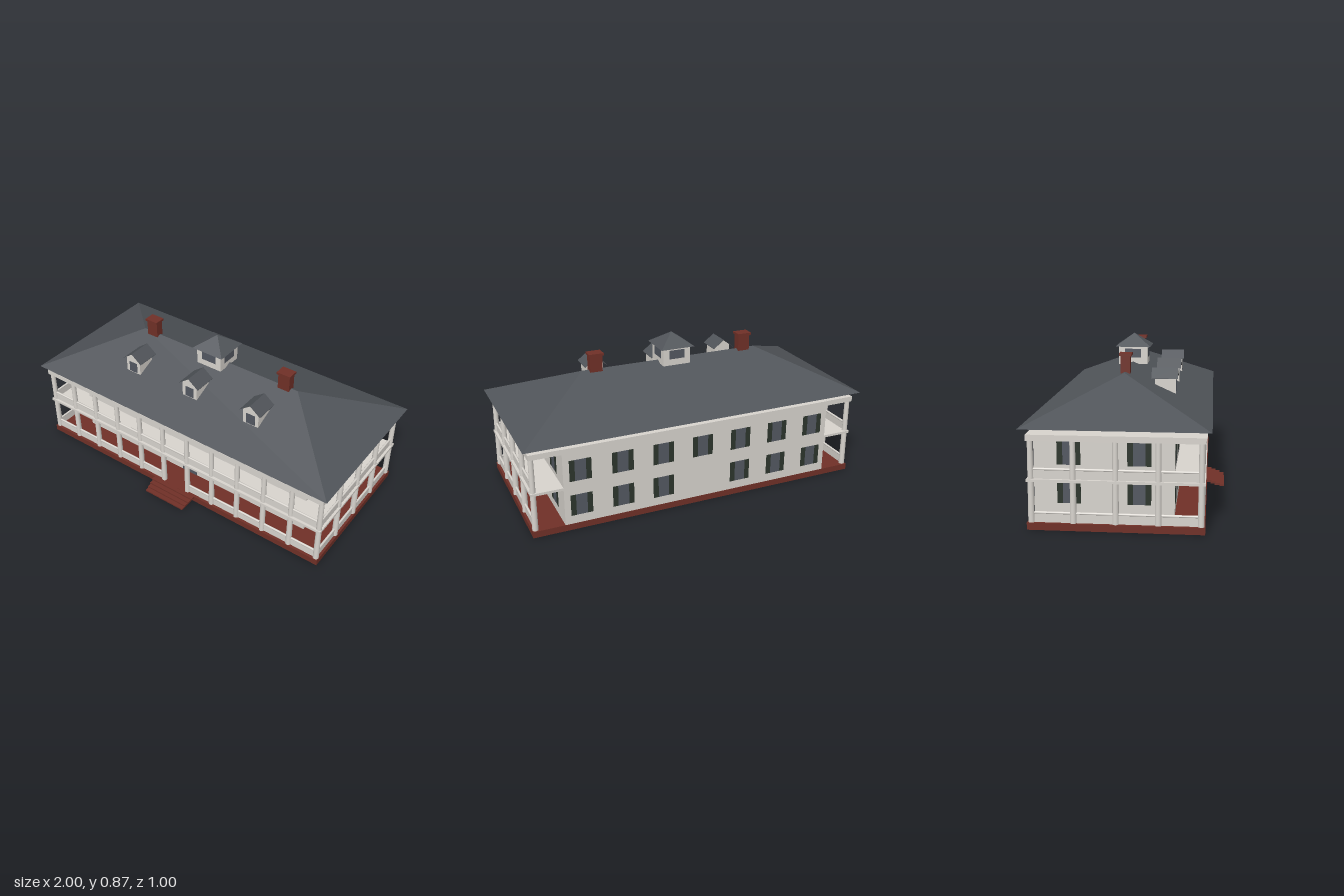
import * as THREE from 'three';
import { ConvexGeometry } from 'three/addons/geometries/ConvexGeometry.js';

const paint = (name, color) => Object.assign(new THREE.MeshStandardMaterial({ color }), { name });

export function createModel() {
  const house = new THREE.Group();
  house.name = 'galleryHouse';
  const stone = paint('pale plaster', 0xd8d4ce);
  const brick = paint('red brick', 0x703027);
  const slate = paint('dark slate', 0x505459);
  const glass = paint('window glass', 0x535861);
  const green = paint('shutter green', 0x2c352c);

  const add = (name, geometry, material, parent = house) => {
    const mesh = new THREE.Mesh(geometry, material);
    mesh.name = name;
    parent.add(mesh);
    return mesh;
  };
  // Box given by its limits on each axis
  const block = (name, material, [x0, x1], [y0, y1], [z0, z1], parent = house) => {
    const mesh = add(name, new THREE.BoxGeometry(x1 - x0, y1 - y0, z1 - z0), material, parent);
    mesh.position.set((x0 + x1) / 2, (y0 + y1) / 2, (z0 + z1) / 2);
    return mesh;
  };
  const extrude = (points, depth) => new THREE.ExtrudeGeometry(
    new THREE.Shape(points.map(p => new THREE.Vector2(...p))), { depth, bevelEnabled: false });

  const ridgeZ = -0.035, wallX = 0.795, wallFront = 0.245, back = -0.467;

  // Base and walls
  block('base', brick, [-0.97, 0.97], [0, 0.036], [back - 0.001, 0.4]);
  block('walls', stone, [-wallX, wallX], [0.036, 0.475], [back, wallFront]);

  // Gallery slabs wrap the front and both sides of the walls
  const gallerySlab = (name, y0, y1) => {
    const outline = [[-0.97, -0.4], [0.97, -0.4], [0.97, -back], [wallX, -back],
      [wallX, -wallFront], [-wallX, -wallFront], [-wallX, -back], [-0.97, -back]];
    const slab = add(name, extrude(outline, y1 - y0), stone);
    slab.rotation.x = -Math.PI / 2;
    slab.position.y = y0;
  };
  gallerySlab('upperGalleryFloor', 0.242, 0.256);
  gallerySlab('entablature', 0.446, 0.476);

  // Front steps, overlapping slabs
  for (let i = 0; i < 4; i++) {
    const w = 0.135 + i * 0.004;
    const top = 0.009 * (i + 1) - 0.0005;
    block('frontStep', brick, [-w, w], [Math.max(0, top - 0.0115), top], [0.47 - i * 0.025, 0.5 - i * 0.025]);
  }

  // Columns around the front and both sides
  const columnGeometry = new THREE.CylinderGeometry(0.014, 0.0165, 0.41, 16);
  const column = (x, z) => add('column', columnGeometry, stone).position.set(x, 0.241, z);
  for (let i = 0; i < 12; i++) column(-0.952 + i * 0.1731, 0.38);
  for (const side of [-1, 1]) {
    for (let i = 1; i < 5; i++) column(side * 0.952, 0.38 - i * 0.2068);
  }

  // Parapets: a thin solid panel under a round handrail
  const parapet = (length, floor, x, z, turn) => {
    const unit = new THREE.Group();
    unit.name = 'parapet';
    block('parapetPanel', stone, [-length / 2, length / 2], [0, 0.045], [-0.004, 0.004], unit);
    const rail = new THREE.CylinderGeometry(0.0065, 0.0065, length, 12).rotateZ(Math.PI / 2);
    add('handrail', rail, stone, unit).position.y = 0.0485;
    unit.position.set(x, floor, z);
    unit.rotation.y = turn;
    house.add(unit);
  };
  parapet(1.904, 0.255, 0, 0.38, 0);
  for (const side of [-1, 1]) {
    parapet(0.865, 0.036, side * 0.5193, 0.38, 0);
    for (const floor of [0.036, 0.255]) parapet(0.827, floor, side * 0.952, -0.0335, Math.PI / 2);
  }

  // Shuttered windows, nearly flush with each wall
  const shutteredWindow = (x, y, z, turn) => {
    const unit = new THREE.Group();
    unit.name = 'shutteredWindow';
    block('pane', glass, [-0.031, 0.031], [0, 0.12], [0, 0.0015], unit);
    for (const s of [-1, 1]) {
      block('shutter', green, [s * 0.0455 - 0.0145, s * 0.0455 + 0.0145], [0, 0.12], [0, 0.002], unit);
    }
    unit.position.set(x, y, z);
    unit.rotation.y = turn;
    house.add(unit);
  };
  for (const y of [0.085, 0.285]) {
    for (let i = -3; i <= 3; i++) {
      if (i === 0 && y < 0.2) continue;
      shutteredWindow(i * 0.2335, y, wallFront, 0);
      shutteredWindow(i * 0.2335, y, back, Math.PI);
    }
    for (const side of [-1, 1]) {
      for (const z of [0.067, -0.289]) shutteredWindow(side * wallX, y, z, side * Math.PI / 2);
    }
  }

  // Arched front door
  const arch = new THREE.Shape();
  arch.moveTo(-0.052, 0.036);
  arch.lineTo(0.052, 0.036);
  arch.lineTo(0.052, 0.176);
  arch.absarc(0, 0.176, 0.052, 0, Math.PI, false);
  arch.closePath();
  add('frontDoor', new THREE.ExtrudeGeometry(arch, { depth: 0.002, bevelEnabled: false }), glass)
    .position.z = wallFront;

  // Hipped main roof
  const roofPoints = [];
  for (const x of [-1, 1]) {
    for (const z of [-0.5, 0.427]) roofPoints.push(new THREE.Vector3(x, 0.507, z));
    roofPoints.push(new THREE.Vector3(x * 0.537, 0.715, ridgeZ));
  }
  add('mainRoof', new ConvexGeometry(roofPoints), slate);

  // Dormers on the front slope, with thin gabled roofs
  const dormerBody = extrude([[-0.049, 0.59], [0.049, 0.59], [0.049, 0.687], [0, 0.7245], [-0.049, 0.687]], 0.11);
  const dormerRoof = extrude([[-0.065, 0.676], [0, 0.7255], [0.065, 0.676], [0.065, 0.678], [0, 0.7275], [-0.065, 0.678]], 0.14);
  for (const x of [-0.41, 0, 0.41]) {
    const dormer = new THREE.Group();
    dormer.name = 'dormer';
    add('dormerBody', dormerBody, stone, dormer).position.z = 0.12;
    add('dormerRoof', dormerRoof, slate, dormer).position.z = 0.1;
    block('dormerWindow', glass, [-0.028, 0.028], [0.6, 0.664], [0.23, 0.2315], dormer);
    dormer.position.x = x;
    house.add(dormer);
  }

  // Cupola with a window on each side
  block('cupolaBody', stone, [-0.082, 0.082], [0.7, 0.801], [ridgeZ - 0.082, ridgeZ + 0.082]);
  for (let i = 0; i < 4; i++) {
    const pivot = new THREE.Group();
    pivot.name = 'cupolaWindow';
    block('cupolaPane', glass, [-0.046, 0.046], [0.737, 0.788], [0.082, 0.0835], pivot);
    pivot.position.z = ridgeZ;
    pivot.rotation.y = i * Math.PI / 2;
    house.add(pivot);
  }
  const cupolaRoof = new THREE.ConeGeometry(0.101 * Math.SQRT2, 0.072, 4, 1, true).rotateY(Math.PI / 4).toNonIndexed();
  cupolaRoof.computeVertexNormals();
  add('cupolaRoof', cupolaRoof, slate).position.set(0, 0.837, ridgeZ);

  // Chimneys at the ends of the ridge
  for (const x of [-0.46, 0.46]) {
    block('chimney', brick, [x - 0.036, x + 0.036], [0.68, 0.8], [ridgeZ - 0.024, ridgeZ + 0.024]);
    block('chimneyCap', brick, [x - 0.042, x + 0.042], [0.798, 0.811], [ridgeZ - 0.033, ridgeZ + 0.033]);
  }
  return house;
}
